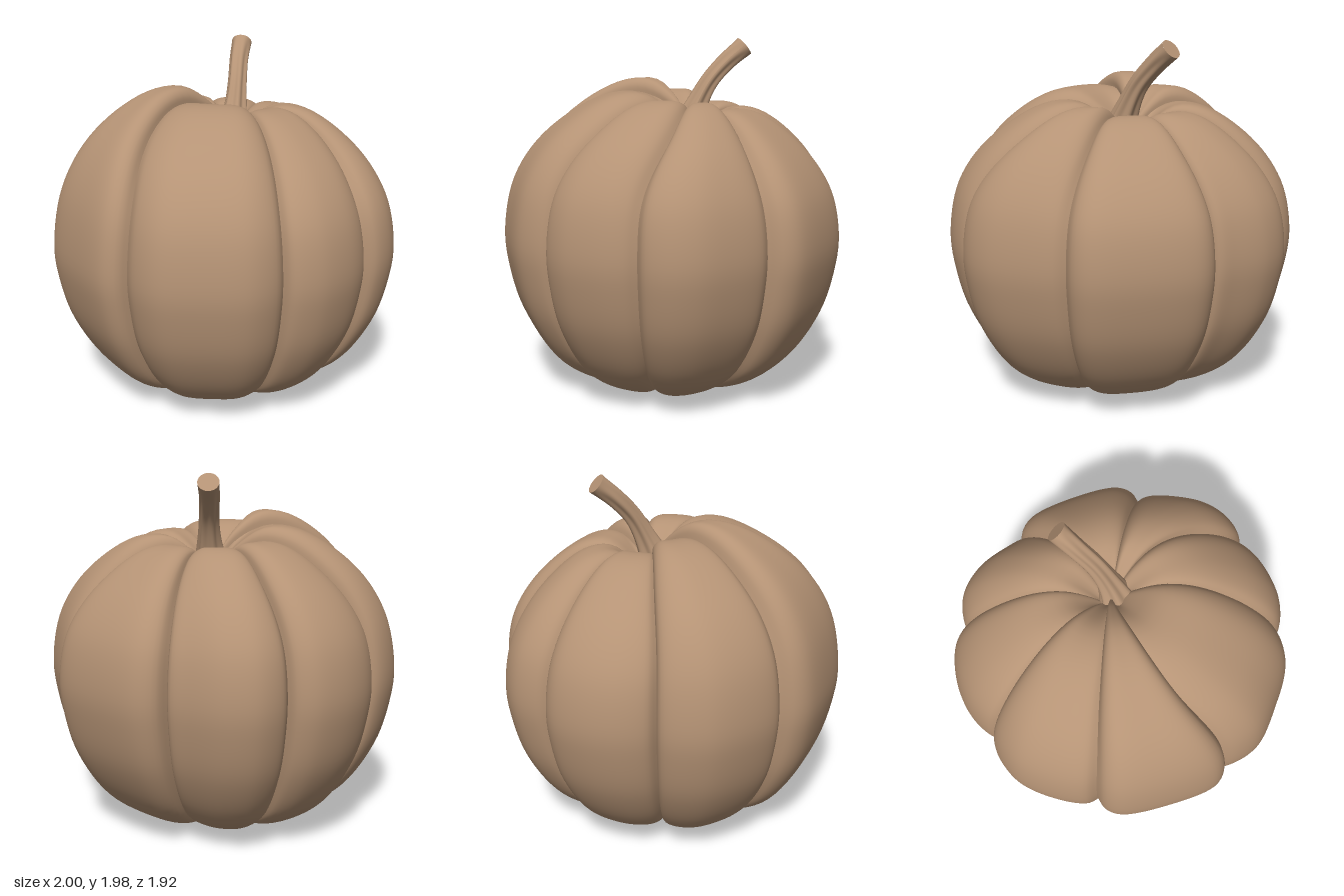
import * as THREE from 'three';

const skin = new THREE.MeshStandardMaterial({ color: 0xb59375 });
skin.name = 'dry tan';

// Widest outline of each lobe [x, z] from crease to crease, the height of its crown,
// and the sideways bow of its starting crease near the top
const lobes = [
  { rim: [[-0.155, 0.86], [-0.19, 0.905], [-0.27, 0.92], [-0.53, 0.79], [-0.75, 0.62], [-0.785, 0.53], [-0.765, 0.455]], top: 1.77, bow: 0.1 },
  { rim: [[-0.765, 0.455], [-0.83, 0.43], [-0.93, 0.28], [-1, 0.06], [-0.97, -0.12], [-0.92, -0.19], [-0.865, -0.2]], top: 1.7, bow: 0 },
  { rim: [[-0.865, -0.2], [-0.905, -0.25], [-0.905, -0.4], [-0.83, -0.58], [-0.7, -0.72], [-0.6, -0.745], [-0.545, -0.715]], top: 1.63, bow: 0 },
  { rim: [[-0.545, -0.715], [-0.545, -0.79], [-0.45, -0.91], [-0.28, -0.96], [-0.08, -0.93], [0.02, -0.9], [0.04, -0.86]], top: 1.61, bow: 0 },
  { rim: [[0.04, -0.86], [0.08, -0.93], [0.18, -0.957], [0.5, -0.83], [0.7, -0.69], [0.735, -0.6], [0.715, -0.525]], top: 1.61, bow: 0.03 },
  { rim: [[0.715, -0.525], [0.77, -0.5], [0.89, -0.35], [0.98, -0.18], [0.995, -0.03], [0.95, 0.09], [0.885, 0.125]], top: 1.65, bow: 0 },
  { rim: [[0.885, 0.125], [0.905, 0.19], [0.89, 0.32], [0.8, 0.51], [0.7, 0.6], [0.65, 0.615], [0.6, 0.6]], top: 1.66, bow: -0.08 },
  { rim: [[0.6, 0.6], [0.6, 0.66], [0.51, 0.79], [0.3, 0.89], [0.06, 0.955], [-0.1, 0.91], [-0.155, 0.86]], top: 1.7, bow: -0.03 },
];

// Upright profile: fraction of the outline, height
const profile = new THREE.CatmullRomCurve3([
  [0, 0.1], [0.12, 0.045], [0.3, 0.012], [0.5, 0.06], [0.73, 0.2], [0.91, 0.47], [0.985, 0.73], [1, 0.91],
  [0.945, 1.2], [0.81, 1.43], [0.6, 1.61], [0.42, 1.69], [0.27, 1.69], [0.13, 1.6], [0.02, 1.48],
].map(([r, y]) => new THREE.Vector3(r, y, 0)));

function lobeGeometry(index) {
  const U = 36, V = 64;
  const lobe = lobes[index];
  const next = lobes[(index + 1) % lobes.length];
  const prev = lobes[(index + lobes.length - 1) % lobes.length];
  const rim = new THREE.CatmullRomCurve3(lobe.rim.map(([x, z]) => new THREE.Vector3(x, 0, z)));
  const rings = profile.getSpacedPoints(V);
  const positions = [], indices = [];
  for (let i = 0; i <= U; i++) {
    const s = i / U;
    const p = rim.getPointAt(s);
    const bulge = 1 - Math.abs(2 * s - 1) ** 4;
    const edgeTop = (lobe.top + (s < 0.5 ? prev : next).top) / 2;
    const crown = THREE.MathUtils.lerp(edgeTop, lobe.top, bulge);
    const bow = THREE.MathUtils.lerp(lobe.bow, next.bow, s) / p.length();
    rings.forEach(({ x: r, y }, j) => {
      const upper = THREE.MathUtils.smoothstep(y, 0.9, 1.6);
      const lower = 1 - THREE.MathUtils.smoothstep(y, 0, 0.6);
      // Crease sinks into the crown and the underside
      const sink = (1 - bulge) * Math.min(1, r * 4);
      const shift = bow * upper * 4 * r * (1 - r);
      positions.push(
        p.x * r - p.z * shift,
        y + upper * (crown - 1.7 - 0.05 * sink) + 0.035 * lower * sink,
        p.z * r - 0.12 * upper * (1 - r) + p.x * shift,
      );
      if (i < U && j < V) {
        const a = i * (V + 1) + j, c = a + V + 1;
        indices.push(a, a + 1, c, a + 1, c + 1, c);
      }
    });
  }
  const geometry = new THREE.BufferGeometry();
  geometry.setAttribute('position', new THREE.Float32BufferAttribute(positions, 3));
  geometry.setIndex(indices);
  geometry.computeVertexNormals();
  return geometry;
}

// Ribbed, bent stem that flares at its foot
function createStem() {
  const path = new THREE.CatmullRomCurve3([
    [0.03, 1.46, -0.08], [0.025, 1.6, -0.14], [0.005, 1.75, -0.22], [-0.025, 1.86, -0.315], [-0.05, 1.95, -0.42],
  ].map((p) => new THREE.Vector3(...p)));
  const T = 30, S = 48;
  const geometry = new THREE.TubeGeometry(path, T, 1, S);
  const pos = geometry.attributes.position;
  const v = new THREE.Vector3();
  for (let i = 0; i <= T; i++) {
    const t = i / T;
    const centre = path.getPointAt(t);
    const radius = 0.046 + 0.06 * (1 - t) ** 4 + 0.012 * t ** 3;
    for (let j = 0; j <= S; j++) {
      const k = i * (S + 1) + j;
      const rib = 1 + 0.12 * (1 - t ** 4) * Math.cos(6 * j / S * Math.PI * 2 + t);
      v.fromBufferAttribute(pos, k).sub(centre).multiplyScalar(radius * rib).add(centre);
      pos.setXYZ(k, v.x, v.y, v.z);
    }
  }
  geometry.computeVertexNormals();

  const stem = new THREE.Group();
  stem.name = 'stem';
  const stalk = new THREE.Mesh(geometry, skin);
  stalk.name = 'stalk';
  // Cut end
  const cut = new THREE.Mesh(new THREE.CircleGeometry(0.058, S), skin);
  cut.name = 'cutEnd';
  cut.position.copy(path.getPointAt(1));
  cut.quaternion.setFromUnitVectors(new THREE.Vector3(0, 0, 1), path.getTangentAt(1));
  stem.add(stalk, cut);
  return stem;
}

export function createModel() {
  const model = new THREE.Group();
  model.name = 'pumpkin';
  const body = new THREE.Group();
  body.name = 'body';
  lobes.forEach((_, i) => {
    const mesh = new THREE.Mesh(lobeGeometry(i), skin);
    mesh.name = `lobe${i + 1}`;
    body.add(mesh);
  });
  model.add(body, createStem());
  return model;
}
